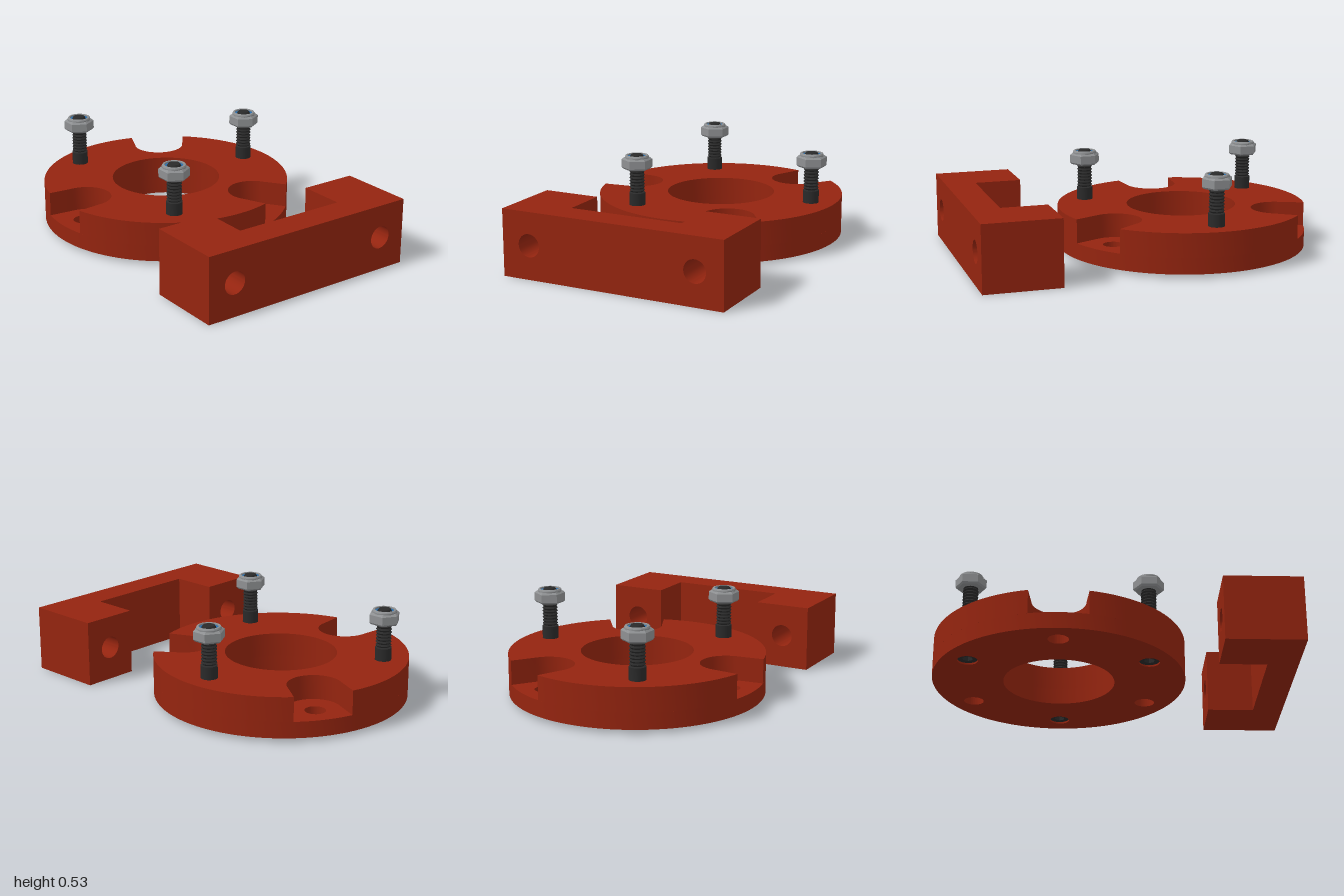
import * as THREE from 'three';
import { toCreasedNormals } from 'three/addons/utils/BufferGeometryUtils.js';

const material = (name, color) => {
  const m = new THREE.MeshStandardMaterial({ color });
  m.name = name;
  return m;
};

export function createModel() {
  const red = material('red plastic', 0x94240f);
  const steel = material('nut steel', 0x8e9092);
  const black = material('screw black', 0x2a2a2a);
  const blue = material('lock ring blue', 0x2a6ca8);

  const model = new THREE.Group();
  model.name = 'clampKit';

  const add = (parent, name, geometry, mat, x = 0, y = 0, z = 0) => {
    const mesh = new THREE.Mesh(toCreasedNormals(geometry, 0.5), mat);
    mesh.name = name;
    mesh.position.set(x, y, z);
    parent.add(mesh);
    return mesh;
  };
  const circle = (x, y, r) => new THREE.Path().absarc(x, y, r, 0, Math.PI * 2, true);
  const extrude = (shape, depth, segments = 24) =>
    new THREE.ExtrudeGeometry(shape, { depth, bevelEnabled: false, curveSegments: segments });
  const lathe = (points, segments = 32) =>
    new THREE.LatheGeometry(points.map(([r, y]) => new THREE.Vector2(r, y)), segments);

  // Ring flange: plain lower disc and a pocketed upper disc
  const flange = new THREE.Group();
  flange.name = 'flange';
  flange.position.z = -0.295;
  model.add(flange);

  const R = 0.705, BORE = 0.31, PITCH = 0.567;
  const third = (Math.PI * 2) / 3;
  const boltAngles = [0, third, 2 * third];
  const pocketAngles = boltAngles.map((a) => a + third / 2);
  const at = (a, r) => [Math.cos(a) * r, Math.sin(a) * r];

  const lower = new THREE.Shape().absarc(0, 0, R, 0, Math.PI * 2, false);
  lower.holes.push(circle(0, 0, BORE));
  for (const a of [...boltAngles, ...pocketAngles]) lower.holes.push(circle(...at(a, PITCH), 0.056));
  add(flange, 'lowerDisc', extrude(lower, 0.09, 48).rotateX(-Math.PI / 2), red, 0, 0.02, 0);

  // Upper outline: rim arcs joined by U-shaped pockets
  const outline = [];
  const half = Math.asin(0.16 / R);
  for (const a of pocketAngles) {
    const local = (u, t) => outline.push(new THREE.Vector2(
      u * Math.cos(a) - t * Math.sin(a), u * Math.sin(a) + t * Math.cos(a)));
    local(R * Math.cos(half), -0.16);
    for (let i = 0; i <= 24; i++) {
      const b = -Math.PI / 2 - (Math.PI * i) / 24;
      local(0.55 + 0.146 * Math.cos(b), 0.146 * Math.sin(b));
    }
    for (let i = 0; i <= 28; i++) {
      const b = a + half + ((third - 2 * half) * i) / 28;
      if (i < 28) outline.push(new THREE.Vector2(...at(b, R)));
    }
  }
  const upper = new THREE.Shape(outline);
  upper.holes.push(circle(0, 0, BORE));
  for (const a of boltAngles) upper.holes.push(circle(...at(a, PITCH), 0.046));
  add(flange, 'upperDisc', extrude(upper, 0.135, 48).rotateX(-Math.PI / 2), red, 0, 0.11, 0);

  // Screw profile: plain shank, thread grooves, chamfered tip
  const screwProfile = [[0.045, 0.1], [0.045, 0.315]];
  for (let y = 0.32; y < 0.515; y += 0.018) screwProfile.push([0.036, y], [0.043, y + 0.009]);
  screwProfile.push([0.037, 0.525], [0.031, 0.534], [0, 0.534]);

  // Screw head with hex socket, set into the underside
  const head = new THREE.Shape().absarc(0, 0, 0.056, 0, Math.PI * 2, false);
  const socket = [];
  for (let i = 0; i < 6; i++) socket.push(new THREE.Vector2(...at((-i * Math.PI) / 3, 0.03)));
  head.holes.push(new THREE.Path(socket));

  for (const a of boltAngles) {
    const bolt = new THREE.Group();
    bolt.name = 'bolt';
    const [x, y] = at(a, PITCH);
    bolt.position.set(x, 0, -y);
    flange.add(bolt);
    add(bolt, 'screw', lathe(screwProfile, 24), black);
    add(bolt, 'screwHead', extrude(head, 0.075).rotateX(-Math.PI / 2), black, 0, 0.03, 0);
    add(bolt, 'socketFloor', new THREE.CylinderGeometry(0.04, 0.04, 0.02, 24), black, 0, 0.095, 0);

    // Lock nut: chamfered hexagon, rounded collar, coloured insert
    add(bolt, 'nutLowerChamfer', new THREE.CylinderGeometry(0.086, 0.077, 0.01, 6), steel, 0, 0.457, 0);
    add(bolt, 'nutBody', new THREE.CylinderGeometry(0.086, 0.086, 0.044, 6, 1, true), steel, 0, 0.484, 0);
    add(bolt, 'nutUpperChamfer', new THREE.CylinderGeometry(0.074, 0.086, 0.01, 6), steel, 0, 0.511, 0);
    add(bolt, 'nutCollar', lathe([[0.067, 0.51], [0.067, 0.522], [0.063, 0.529],
      [0.056, 0.531], [0.052, 0.529], [0.052, 0.515]]), steel);
    add(bolt, 'lockRing', lathe([[0.053, 0.522], [0.04, 0.522], [0.036, 0.517]]), blue);
  }

  // Clamp block: two drilled arms and a bridge
  const block = new THREE.Group();
  block.name = 'clampBlock';
  block.position.x = 0.005;
  model.add(block);
  const H = 0.37;
  for (const side of [-1, 1]) {
    const arm = new THREE.Shape();
    const x0 = side < 0 ? -0.645 : 0.325, x1 = x0 + 0.32;
    arm.moveTo(x0, 0).lineTo(x1, 0).lineTo(x1, H).lineTo(x0, H).closePath();
    arm.holes.push(circle(side * 0.485, 0.187, 0.063));
    add(block, side < 0 ? 'rightArm' : 'leftArm', extrude(arm, 0.43), red, 0, 0, 0.57);
  }
  add(block, 'bridge', new THREE.BoxGeometry(0.65, H, 0.17), red, 0, H / 2, 0.915);

  return model;
}
